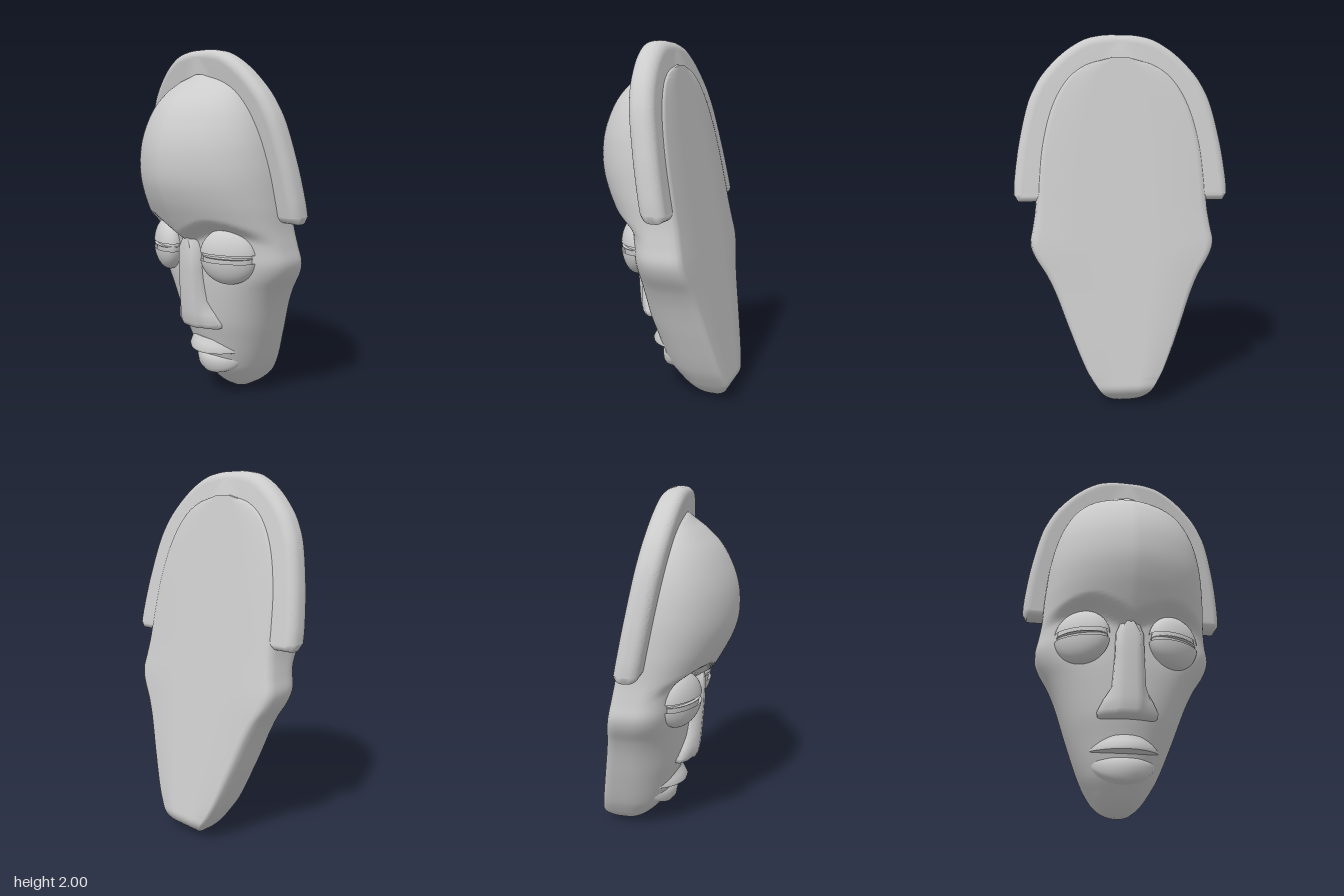
import * as THREE from 'three';
import { toCreasedNormals } from 'three/addons/utils/BufferGeometryUtils.js';

const material = new THREE.MeshStandardMaterial({ color: 0xcccccc, side: THREE.DoubleSide });

// Smooth interpolation through [position, value] pairs
function curve(points) {
  const slope = (i) => {
    const a = points[Math.max(i - 1, 0)], b = points[Math.min(i + 1, points.length - 1)];
    return (b[1] - a[1]) / (b[0] - a[0]);
  };
  return (t) => {
    let i = 0;
    while (i < points.length - 2 && t > points[i + 1][0]) i++;
    const [t0, v0] = points[i], [t1, v1] = points[i + 1];
    const h = t1 - t0, s = THREE.MathUtils.clamp((t - t0) / h, 0, 1), s2 = s * s, s3 = s2 * s;
    return (2 * s3 - 3 * s2 + 1) * v0 + (s3 - 2 * s2 + s) * h * slope(i)
      + (3 * s2 - 2 * s3) * v1 + (s3 - s2) * h * slope(i + 1);
  };
}

// Skin over closed rings of points, with both ends capped
function loft(rings, crease) {
  const n = rings[0].length, pos = rings.flat(2), index = [];
  for (let r = 0; r < rings.length - 1; r++) {
    for (let j = 0; j < n; j++) {
      const a = r * n + j, b = r * n + (j + 1) % n;
      index.push(a, b, b + n, a, b + n, a + n);
    }
  }
  [0, rings.length - 1].forEach((r, top) => {
    const centre = pos.length / 3;
    for (let k = 0; k < 3; k++) pos.push(rings[r].reduce((s, p) => s + p[k], 0) / n);
    for (let j = 0; j < n; j++) {
      const a = r * n + j, b = r * n + (j + 1) % n;
      index.push(centre, top ? a : b, top ? b : a);
    }
  });
  const geo = new THREE.BufferGeometry();
  geo.setAttribute('position', new THREE.Float32BufferAttribute(pos, 3));
  geo.setIndex(index);
  return toCreasedNormals(geo, crease);
}

// The leaning flat back, shared by head and crest
const backPlane = (y) => -0.408 + 0.188 * y;

const halfWidth = curve([[0, 0.03], [0.015, 0.07], [0.05, 0.115], [0.1, 0.155], [0.2, 0.215], [0.4, 0.297],
  [0.6, 0.372], [0.7, 0.42], [0.8, 0.482], [0.87, 0.503], [0.95, 0.49], [1.05, 0.475], [1.2, 0.467],
  [1.4, 0.445], [1.6, 0.39], [1.75, 0.3], [1.83, 0.19], [1.87, 0.05]]);
const faceFront = curve([[0, -0.21], [0.05, -0.13], [0.13, -0.05], [0.2, 0], [0.4, 0.07], [0.5, 0.1],
  [0.7, 0.13], [0.9, 0.15], [1.1, 0.17], [1.87, 0.17]]);
const foreheadFront = curve([[0.85, 0.18], [0.97, 0.225], [1.1, 0.295], [1.2, 0.345], [1.3, 0.378],
  [1.4, 0.386], [1.5, 0.375], [1.6, 0.342], [1.7, 0.285], [1.78, 0.205], [1.83, 0.14], [1.87, 0.1]]);
const browLine = curve([[0, 0.96], [0.1, 1.01], [0.2, 1.05], [0.3, 1.05], [0.4, 1.02], [0.5, 0.98]]);

// Head: horizontal sections with a domed, faintly ridged forehead stepping back below the brow
function headGeometry() {
  const rings = [], rows = 150, cols = 72;
  for (let r = 0; r <= rows; r++) {
    const s = r / rows;
    const y = 1.87 * (0.55 * s + 0.45 * (1 - Math.cos(Math.PI * s)) / 2);
    const w = halfWidth(y);
    const back = backPlane(y) + 0.12 * Math.max(0, 1 - y / 0.12) ** 2;
    const side = back + Math.min(0.135, 0.45 * (faceFront(y) - back));
    const ring = [];
    for (let j = 0; j <= cols; j++) {
      const a = Math.PI * (1 - j / cols), x = w * Math.cos(a), ax = Math.abs(x);
      const brow = THREE.MathUtils.smoothstep(y, browLine(ax) - 0.03, browLine(ax) + 0.06);
      const front = THREE.MathUtils.lerp(faceFront(y), foreheadFront(y), brow);
      const socket = 0.025 * Math.exp(-(((ax - 0.25) / 0.14) ** 2) - ((y - 0.93) / 0.13) ** 2) * (1 - brow);
      const ridge = 1 - 0.1 * brow * ax / w;
      ring.push([x, y, side + (front - side) * Math.sin(a) ** 0.87 * ridge - socket]);
    }
    const edge = [[1, 0.4], [0.985, 0.17], [0.95, 0.04], [0.9, 0], [0.4, 0]];
    edge.forEach(([f, d]) => ring.push([w * f, y, back + (side - back) * d]));
    edge.reverse().forEach(([f, d]) => ring.push([-w * f, y, back + (side - back) * d]));
    rings.push(ring);
  }
  return loft(rings, 1);
}

// Crest: rounded arch slab leaning with the back
function crestGeometry() {
  const half = [[0.59, 1.13], [0.585, 1.22], [0.56, 1.4], [0.515, 1.6], [0.47, 1.71], [0.41, 1.8],
    [0.31, 1.9], [0.2, 1.97], [0.1, 1.996]];
  const pts = [...half, [0, 2], ...half.map(([x, y]) => [-x, y]).reverse()].map((p) => new THREE.Vector2(...p));
  const shape = new THREE.Shape();
  shape.moveTo(0.565, 1.09);
  shape.lineTo(0.59, 1.13);
  shape.splineThru(pts.slice(1));
  shape.lineTo(-0.565, 1.09);
  const geo = new THREE.ExtrudeGeometry(shape, {
    depth: 0.025, curveSegments: 60, bevelSegments: 8, bevelThickness: 0.055, bevelSize: 0.05, bevelOffset: -0.05,
  });
  const p = geo.attributes.position;
  for (let i = 0; i < p.count; i++) p.setZ(i, p.getZ(i) + 0.067 + backPlane(p.getY(i)));
  return toCreasedNormals(geo, 0.9);
}

// Nose: flat-fronted bridge spreading into the nostrils
function noseGeometry() {
  // y, ridge half-width, base half-width, ridge z, wing z
  const rows = [[0.456, 0.05, 0.14, 0.125, 0.08], [0.465, 0.066, 0.16, 0.163, 0.105],
    [0.49, 0.07, 0.165, 0.174, 0.115], [0.55, 0.068, 0.135, 0.182, 0.125], [0.62, 0.065, 0.092, 0.188, 0.135],
    [0.8, 0.06, 0.08, 0.2, 0.145], [0.92, 0.055, 0.078, 0.203, 0.15], [0.99, 0.02, 0.06, 0.195, 0.15]];
  return loft(rows.map(([y, a, b, z, wing]) => {
    const right = [[a * 0.5, z], [a * 0.9, z - 0.005], [a * 1.05, z - 0.02],
      [(a + b) / 2 + 0.01, (z + wing) / 2 - 0.012], [b, wing - 0.02], [b, 0]];
    return [...right.map(([x, d]) => [-x, y, d]).reverse(), ...right.map(([x, d]) => [x, y, d])];
  }), 1.1);
}

// Lip: a section swept across the mouth, tapering and bending back at the corners
function lipGeometry(section, width, cornerY) {
  const rings = [], steps = 32;
  for (let i = 0; i <= steps; i++) {
    const t = -Math.cos(Math.PI * i / steps), taper = 0.04 + 0.96 * Math.sqrt(Math.max(0, 1 - t * t));
    rings.push(section.map(([y, z]) => [width * t, cornerY + (y - cornerY) * taper, z * taper - 0.075 * t * t]));
  }
  return loft(rings, 0.8);
}

// Eye: two heavy lids around a narrow slit
function eye(side) {
  const group = new THREE.Group();
  group.name = side > 0 ? 'leftEye' : 'rightEye';
  const add = (name, geo, sx, sy, sz) => {
    const mesh = new THREE.Mesh(geo, material);
    mesh.name = name;
    mesh.scale.set(sx, sy, sz);
    group.add(mesh);
  };
  const sphere = (from, to) => new THREE.SphereGeometry(1, 40, 20, 0, Math.PI * 2, from * Math.PI, (to - from) * Math.PI);
  add('upperLid', sphere(0, 0.46), 0.163, 0.155, 0.09);
  add('lowerLid', sphere(0.55, 1), 0.163, 0.155, 0.09);
  add('eyeball', sphere(0, 1), 0.148, 0.144, 0.074);
  add('slitBar', sphere(0, 1), 0.15, 0.014, 0.086);
  group.position.set(0.257 * side, 0.905, 0.1);
  group.rotation.y = 0.5 * side;
  return group;
}

export function createModel() {
  const model = new THREE.Group();
  model.name = 'mask';
  const part = (name, geo) => {
    const mesh = new THREE.Mesh(geo, material);
    mesh.name = name;
    model.add(mesh);
  };
  part('head', headGeometry());
  part('crest', crestGeometry());
  part('nose', noseGeometry());
  part('upperLip', lipGeometry(
    [[0.385, 0], [0.378, 0.068], [0.345, 0.085], [0.31, 0.104], [0.295, 0.1], [0.288, 0.07], [0.28, -0.03]], 0.2, 0.31));
  part('lowerLip', lipGeometry(
    [[0.268, -0.03], [0.265, 0.03], [0.25, 0.043], [0.215, 0.043], [0.175, 0.036], [0.15, 0.015], [0.135, -0.06]], 0.18, 0.262));
  model.add(eye(1), eye(-1));
  return model;
}
